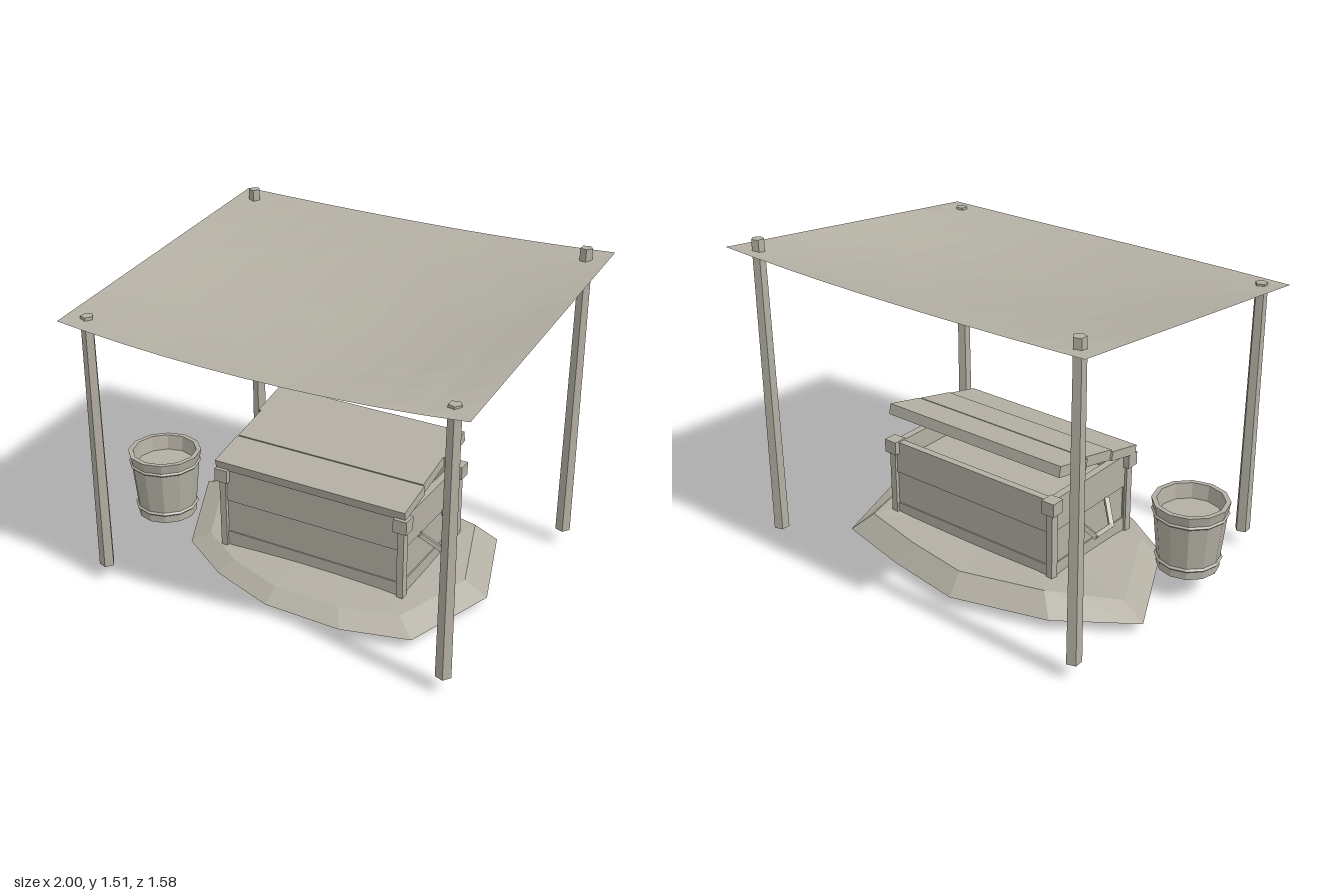
import * as THREE from 'three';

const wood = new THREE.MeshStandardMaterial({ color: 0xb3afa3, flatShading: true, side: THREE.DoubleSide });
wood.name = 'weathered grey';

function add(parent, name, geometry, x = 0, y = 0, z = 0) {
  const mesh = new THREE.Mesh(geometry, wood);
  mesh.name = name;
  mesh.position.set(x, y, z);
  parent.add(mesh);
  return mesh;
}

// Box given by its lower and upper corners
function block(parent, name, x0, x1, y0, y1, z0, z1) {
  const geo = new THREE.BoxGeometry(x1 - x0, y1 - y0, z1 - z0);
  return add(parent, name, geo, (x0 + x1) / 2, (y0 + y1) / 2, (z0 + z1) / 2);
}

// Square bar between two points
function bar(parent, name, a, b, r) {
  const d = new THREE.Vector3().subVectors(b, a);
  const mesh = add(parent, name, new THREE.CylinderGeometry(r, r, d.length() + r, 4));
  mesh.position.copy(a).addScaledVector(d, 0.5);
  mesh.quaternion.setFromUnitVectors(new THREE.Vector3(0, 1, 0), d.normalize());
  return mesh;
}

// Cloth roof: slopes down to the front and sags in the middle
function canopyGeometry() {
  const geo = new THREE.PlaneGeometry(2, 2, 10, 10);
  const p = geo.attributes.position;
  for (let i = 0; i < p.count; i++) {
    const u = p.getX(i), v = -p.getY(i);
    const bow = 1 - u * u;
    const z = -0.79 + (v + 1) / 2 * (1.52 + 0.055 * bow);
    const slope = 1.477 - 0.172 * (v + 1) / 2;
    const across = Math.max(0, 1 - Math.pow((u - 0.15) / (u > 0.15 ? 0.85 : 1.15), 2));
    const sag = across * (0.02 + 0.085 * Math.cos(Math.PI / 2 * Math.max(-1, Math.min(1, (v - 0.12) / (v > 0.12 ? 0.88 : 1.12)))));
    p.setXYZ(i, 0.04 + 0.96 * u, slope - sag, z);
  }
  geo.computeVertexNormals();
  return geo;
}

// Faceted mound of earth from stacked rings of one outline
function moundGeometry() {
  const outline = [[0.66, 0.46], [0.81, 0], [0.65, -0.48], [0.28, -0.57], [-0.1, -0.63], [-0.55, -0.5],
    [-0.88, -0.27], [-0.62, 0.26], [-0.35, 0.43], [-0.03, 0.54], [0.35, 0.545]];
  const rings = [[0, 0.015], [0.84, 0.015], [1, 0.052], [0.86, 0.105], [0.5, 0.125], [0, 0.13]];
  const n = outline.length, pos = [], idx = [];
  rings.forEach(([s, y], r) => outline.forEach(([x, z]) => {
    const lift = r === 3 && z < -0.4 ? 0.035 : 0;
    pos.push(x * s, y + lift, -0.03 + (z + 0.03) * s);
  }));
  for (let r = 0; r < rings.length - 1; r++) {
    for (let i = 0; i < n; i++) {
      const a = r * n + i, b = r * n + (i + 1) % n;
      idx.push(a, b, a + n, b, b + n, a + n);
    }
  }
  const geo = new THREE.BufferGeometry();
  geo.setAttribute('position', new THREE.Float32BufferAttribute(pos, 3));
  geo.setIndex(idx);
  geo.computeVertexNormals();
  return geo;
}

function makeChest() {
  const chest = new THREE.Group();
  chest.name = 'chest';
  const x0 = -0.42, x1 = 0.51, z0 = -0.315, z1 = 0.265, t = 0.035;
  block(chest, 'chestFloor', x0, x1, 0.006, 0.04, z0, z1);
  // Walls of three stacked boards, every other one set in slightly
  const rows = [[0.002, 0.18, 0], [0.18, 0.345, 0.006], [0.345, 0.505, 0]];
  for (const [a, b, inset] of rows) {
    block(chest, 'frontBoard', x0, x1, a, b, z1 - t, z1 - inset);
    block(chest, 'backBoard', x0, x1, a, b, z0 + inset, z0 + t);
    block(chest, 'leftBoard', x1 - t, x1 - inset, a, b, z0 + t, z1 - t);
    block(chest, 'rightBoard', x0 + inset, x0 + t, a, b, z0 + t, z1 - t);
  }
  // Corner posts with caps at top and bottom
  for (const [x, sx] of [[x0, -1], [x1, 1]]) {
    for (const [z, sz] of [[z0, -1], [z1, 1]]) {
      const cx = x - sx * 0.004, cz = z - sz * 0.008;
      block(chest, 'cornerPost', cx - 0.016, cx + 0.016, 0, 0.46, cz - 0.02, cz + 0.02);
      block(chest, 'cornerCap', cx - 0.033, cx + 0.033, 0.448, 0.512, cz - 0.033, cz + 0.033);
      block(chest, 'cornerFoot', cx - 0.03, cx + 0.03, 0, 0.06, cz - 0.033, cz + 0.033);
    }
    // Drop handle on each end
    const P = (dx, y, z) => new THREE.Vector3(x + sx * dx, y, z);
    const pts = [P(0.005, 0.34, 0.09), P(0.075, 0.258, 0.03), P(0.075, 0.258, -0.09), P(0.005, 0.34, -0.145)];
    for (let i = 0; i < 3; i++) bar(chest, 'chestHandle', pts[i], pts[i + 1], 0.015);
  }
  // Contents
  block(chest, 'chestFill', x0 + t, x1 - t, 0.38, 0.41, z0 + t, z1 - t);
  const lump = add(chest, 'lump', new THREE.IcosahedronGeometry(0.05, 1), 0.05, 0.527, -0.066);
  lump.scale.y = 0.36;

  // Tilted lid of three boards
  const lid = new THREE.Group();
  lid.name = 'lid';
  lid.position.set(0.04, 0.594, -0.015);
  lid.rotation.x = 0.222;
  chest.add(lid);
  block(lid, 'lidFrontBoard', -0.49, 0.485, -0.023, 0.022, 0.105, 0.298);
  block(lid, 'lidMiddleBoard', -0.48, 0.48, -0.022, 0.028, -0.1, 0.105);
  block(lid, 'lidBackBoard', -0.495, 0.49, -0.026, 0.025, -0.3, -0.1);
  return chest;
}

function makeBucket() {
  const bucket = new THREE.Group();
  bucket.name = 'bucket';
  bucket.position.set(-0.825, 0, 0.16);
  const profile = [[0, 0.15], [0.125, 0.15], [0.13, 0.125], [0.142, 0.125], [0.142, 0.17], [0.165, 0.4],
    [0.175, 0.452], [0.152, 0.452], [0.14, 0.38], [0, 0.38]].map(([x, y]) => new THREE.Vector2(x, y));
  add(bucket, 'bucketBody', new THREE.LatheGeometry(profile, 12));
  for (const [y, r] of [[0.172, 0.144], [0.398, 0.165]]) {
    const hoop = add(bucket, 'bucketHoop', new THREE.TorusGeometry(r, 0.009, 4, 12), 0, y, 0);
    hoop.rotation.x = Math.PI / 2;
  }
  return bucket;
}

export function createModel() {
  const model = new THREE.Group();
  model.name = 'shelteredChest';
  add(model, 'canopy', canopyGeometry());
  // Five-sided poles, taller at the back
  for (const x of [-0.825, 0.9]) {
    for (const [z, top] of [[0.645, 1.32], [-0.695, 1.512]]) {
      const h = top - 0.077;
      const pole = add(model, 'pole', new THREE.CylinderGeometry(0.029, 0.036, h, 5), x, 0.077 + h / 2, z);
      pole.rotation.y = Math.PI / 2;
    }
  }
  add(model, 'mound', moundGeometry());
  model.add(makeChest(), makeBucket());
  return model;
}
